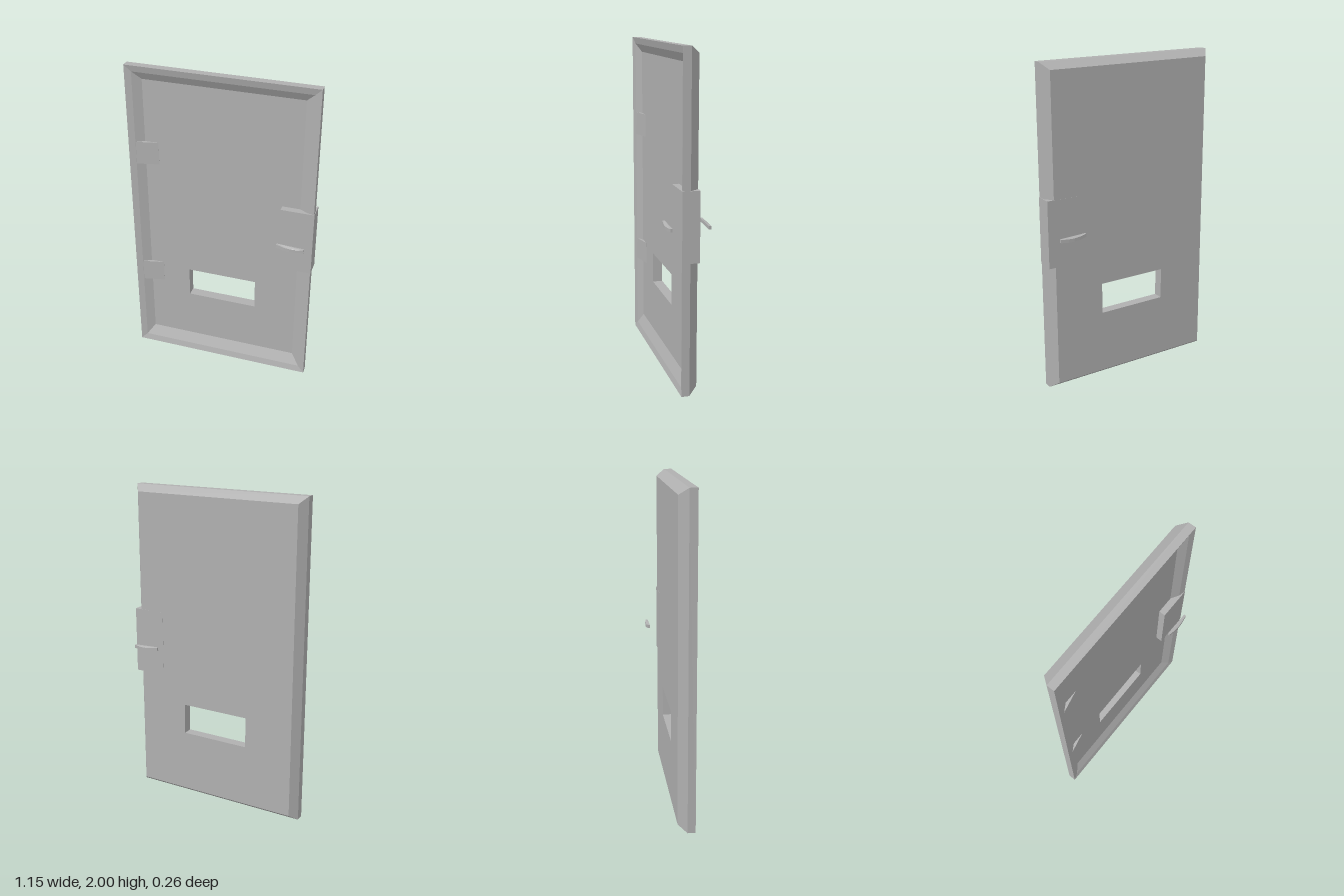
import * as THREE from 'three';

const grey = new THREE.MeshStandardMaterial({ color: 0xb0b0b0 });
grey.name = 'grey metal';

// Rectangle at depth z, corners counterclockwise seen from the front
const ring = (x0, x1, y0, y1, z) => [[x0, y0, z], [x1, y0, z], [x1, y1, z], [x0, y1, z]];

// Flat-faced strips joining successive rectangles
function loft(rings) {
  const pos = [];
  for (let r = 0; r < rings.length - 1; r++) {
    for (let i = 0; i < 4; i++) {
      const j = (i + 1) % 4, a = rings[r], b = rings[r + 1];
      pos.push(...a[i], ...a[j], ...b[j], ...a[i], ...b[j], ...b[i]);
    }
  }
  const g = new THREE.BufferGeometry();
  g.setAttribute('position', new THREE.Float32BufferAttribute(pos, 3));
  g.computeVertexNormals();
  return g;
}

const toShape = (pts) => new THREE.Shape(pts.map(([x, y]) => new THREE.Vector2(x, y)));

export function createModel() {
  const door = new THREE.Group();
  door.name = 'door';
  const add = (name, geometry, parent = door) => {
    const m = new THREE.Mesh(geometry, grey);
    m.name = name;
    parent.add(m);
    return m;
  };

  // Bevelled back edge, outer side, gently tilted rim and inner slope
  const back = ring(-0.535, 0.53, 0.04, 1.96, -0.042);
  const floor = ring(-0.485, 0.48, 0.11, 1.91, 0.02);
  add('frame', loft([
    back,
    ring(-0.575, 0.57, 0, 2, 0.012),
    ring(-0.575, 0.57, 0, 2, 0.06),
    ring(-0.535, 0.53, 0.04, 1.96, 0.05),
    floor,
  ]));

  // Front and back panels with the slot opening, and the slot's walls
  const slot = (z) => ring(-0.225, 0.215, 0.435, 0.63, z);
  const panel = (outline) => {
    const s = toShape(outline);
    s.holes.push(toShape(slot(0)));
    return new THREE.ShapeGeometry(s);
  };
  add('frontPanel', panel(floor)).position.z = 0.02;
  const backGeo = panel(back.map(([x, y]) => [-x, y]));
  backGeo.rotateY(Math.PI);
  // Mirror symmetry differs slightly, so the slot is recut for the turned panel
  const backShape = toShape(back.map(([x, y]) => [-x, y]));
  backShape.holes.push(toShape(slot(0).map(([x, y]) => [-x, y])));
  add('backPanel', new THREE.ShapeGeometry(backShape).rotateY(Math.PI)).position.z = -0.042;
  backGeo.dispose();
  add('slotWalls', loft([slot(0.02), slot(-0.042)]));

  // Wedge-shaped hinge tabs running from the rim down to the panel
  for (const [name, y0, y1] of [['lowerHinge', 0.51, 0.65], ['upperHinge', 1.37, 1.515]]) {
    const wedge = toShape([[-0.54, 0.0], [-0.4, 0.0], [-0.4, 0.0205], [-0.54, 0.0505]]);
    const g = new THREE.ExtrudeGeometry(wedge, { depth: y1 - y0, bevelEnabled: false });
    // Profile depth becomes z, extrusion becomes height
    g.rotateX(Math.PI / 2).scale(1, 1, 1).translate(0, y1, 0);
    add(name, g);
  }

  // Lock box
  add('lockBox', new THREE.BoxGeometry(0.203, 0.415, 0.104)).position.set(0.4715, 1.0125, 0.009);

  // Bowed handles on both faces
  for (const side of [1, -1]) {
    const bow = toShape([[-0.084, 0], [0.084, 0], [0.084, 0.013], [0.035, 0.02],
      [0, 0.022], [-0.035, 0.02], [-0.084, 0.013]]);
    const g = new THREE.ExtrudeGeometry(bow, { depth: 0.02, bevelEnabled: false });
    g.translate(0, 0, -0.01).rotateX(side * Math.PI / 2);
    const p = g.attributes.position;
    for (let i = 0; i < p.count; i++) {
      // Slight sag in the middle of the grip
      p.setY(i, p.getY(i) - 0.007 * (1 - (p.getX(i) / 0.084) ** 2));
    }
    g.computeVertexNormals();
    const m = add(side > 0 ? 'frontHandle' : 'backHandle', g);
    m.position.set(0.449, 0.997, side > 0 ? 0.105 : -0.108);
    m.rotation.z = -0.04;
  }
  return door;
}
